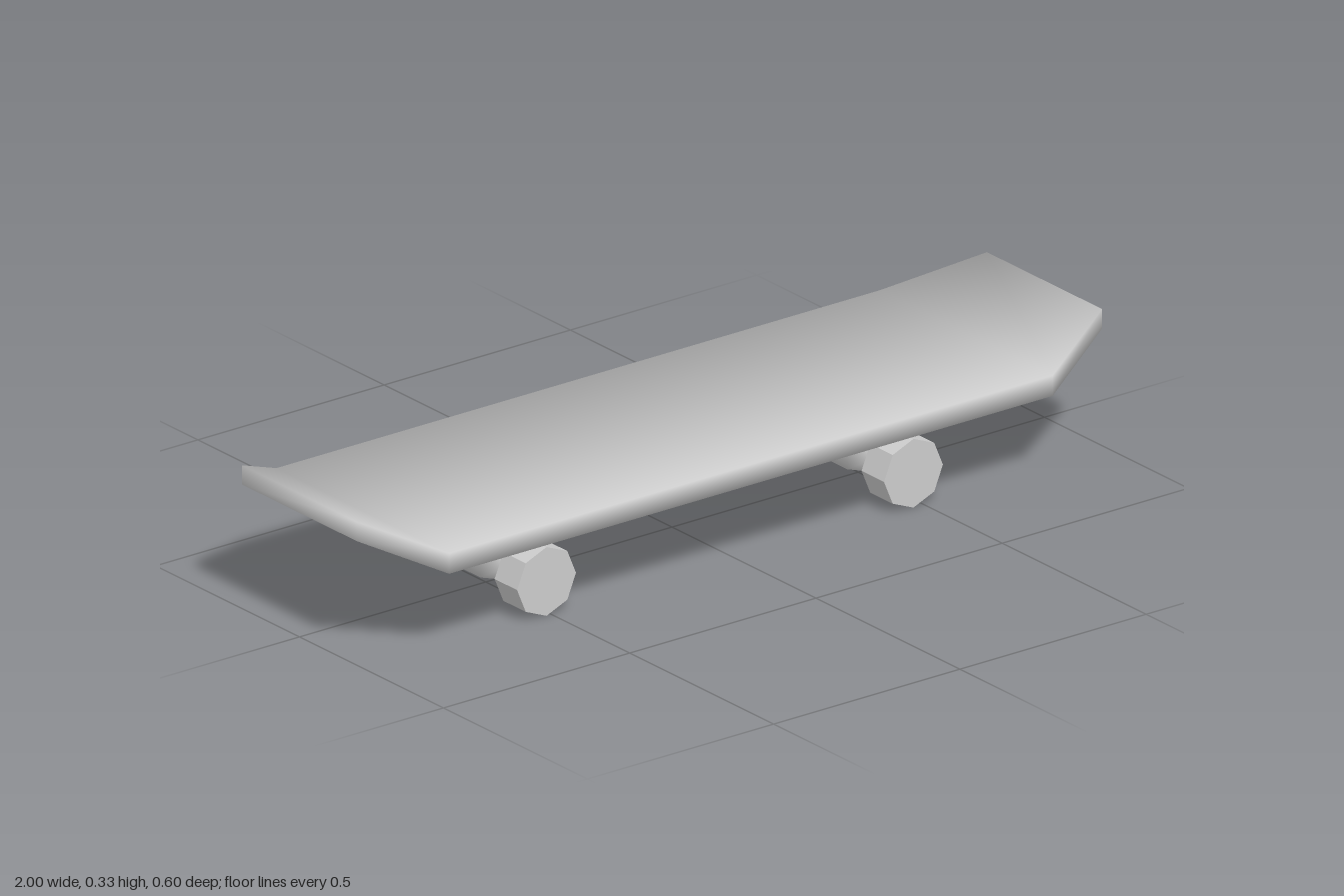
import * as THREE from 'three';

const material = new THREE.MeshStandardMaterial({ color: 0xcccccc });
const wheelMaterial = new THREE.MeshStandardMaterial({ color: 0xcccccc, flatShading: true });

// Solid from quads; each corner normal is the plain average of the faces meeting there
function smoothSolid(points, quads) {
  const normals = points.map(() => new THREE.Vector3());
  const index = [];
  for (const [a, b, c, d] of quads) {
    const n = points[c].clone().sub(points[a]).cross(points[d].clone().sub(points[b])).normalize();
    for (const i of [a, b, c, d]) normals[i].add(n);
    index.push(a, b, c, a, c, d);
  }
  const geometry = new THREE.BufferGeometry();
  geometry.setAttribute('position', new THREE.Float32BufferAttribute(points.flatMap(p => p.toArray()), 3));
  geometry.setAttribute('normal', new THREE.Float32BufferAttribute(normals.flatMap(n => n.normalize().toArray()), 3));
  geometry.setIndex(index);
  return geometry;
}

// Rectangular sections [x, bottom, top, half depth] joined along x
function loft(sections) {
  const points = sections.flatMap(([x, y0, y1, z]) => [
    new THREE.Vector3(x, y0, -z), new THREE.Vector3(x, y0, z),
    new THREE.Vector3(x, y1, z), new THREE.Vector3(x, y1, -z)]);
  const quads = [];
  for (let s = 0; s < sections.length - 1; s++) {
    for (let k = 0; k < 4; k++) {
      const a = s * 4, n = (k + 1) % 4;
      quads.push([a + k, a + 4 + k, a + 4 + n, a + n]);
    }
  }
  const e = points.length - 4;
  quads.push([0, 1, 2, 3], [e + 3, e + 2, e + 1, e]);
  return { points, quads };
}

// Tapered axle hanger with a post raised from the middle of its top
function hangerGeometry() {
  const { points, quads } = loft([
    [-0.15, 0.06, 0.10, 0.02], [-0.05, 0.04, 0.12, 0.04],
    [0.05, 0.04, 0.12, 0.04], [0.15, 0.06, 0.10, 0.02]]);
  const [base] = quads.splice(6, 1); // top face of the middle section
  const first = points.length;
  for (const i of base) points.push(points[i].clone().setY(0.2));
  for (let k = 0; k < 4; k++) {
    const n = (k + 1) % 4;
    quads.push([base[k], base[n], first + n, first + k]);
  }
  quads.push([first, first + 1, first + 2, first + 3]);
  return smoothSolid(points, quads).rotateY(Math.PI / 2);
}

function addMesh(parent, name, geometry, mat = material) {
  const mesh = new THREE.Mesh(geometry, mat);
  mesh.name = name;
  parent.add(mesh);
  return mesh;
}

export function createModel() {
  const model = new THREE.Group();
  model.name = 'skateboard';

  // Deck with narrowed, upturned ends
  const { points, quads } = loft([
    [-1, 0.285, 0.329, 0.2], [-0.83, 0.2, 0.247, 0.3],
    [0.79, 0.2, 0.247, 0.3], [1, 0.269, 0.314, 0.2]]);
  addMesh(model, 'deck', smoothSolid(points, quads));

  // Two trucks, each with a pair of eight-sided wheels
  const hanger = hangerGeometry();
  const wheel = new THREE.CylinderGeometry(0.079, 0.079, 0.078, 8).rotateX(Math.PI / 2);
  for (const [name, x] of [['rightTruck', -0.513], ['leftTruck', 0.472]]) {
    const truck = new THREE.Group();
    truck.name = name;
    truck.position.x = x;
    addMesh(truck, 'hanger', hanger);
    for (const side of [1, -1]) {
      addMesh(truck, side > 0 ? 'frontWheel' : 'backWheel', wheel, wheelMaterial)
        .position.set(0, 0.079, side * 0.189);
    }
    model.add(truck);
  }
  return model;
}
